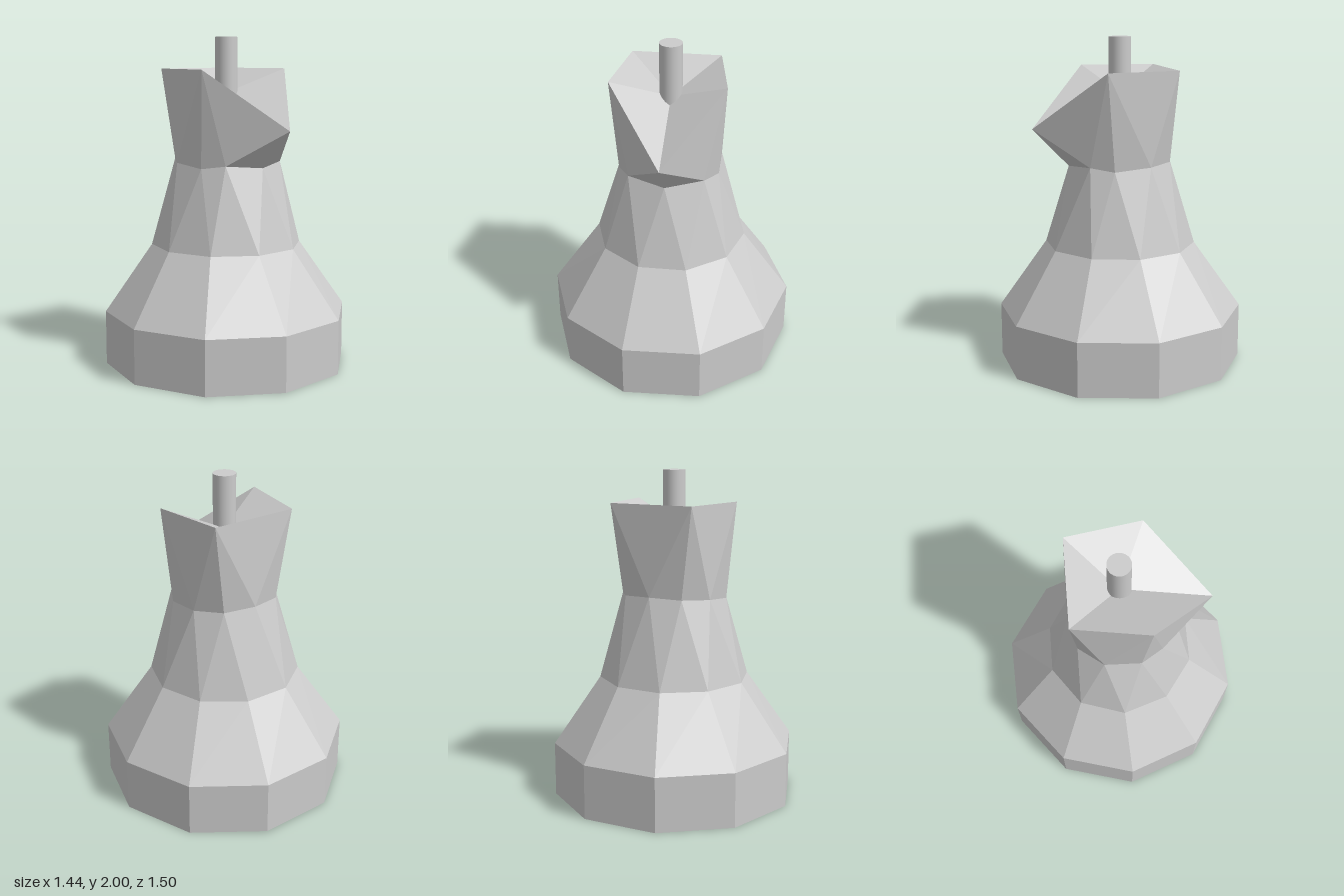
import * as THREE from 'three';

const material = new THREE.MeshStandardMaterial({ color: 0xcccccc, flatShading: true });
const SIDES = 10;

// Ring of ten points: radius, height, turn in degrees
function ring(r, y, turn) {
  return Array.from({ length: SIDES }, (_, k) => {
    const a = THREE.MathUtils.degToRad(turn + 36 * k);
    return [r * Math.cos(a), y, r * Math.sin(a)];
  });
}

// Faceted mesh from a list of triangles, each made of three points
function facets(name, triangles) {
  const geometry = new THREE.BufferGeometry();
  geometry.setAttribute('position', new THREE.Float32BufferAttribute(triangles.flat(2), 3));
  geometry.computeVertexNormals();
  const mesh = new THREE.Mesh(geometry, material);
  mesh.name = name;
  return mesh;
}

// Band of quads between two rings
function band(lower, upper) {
  return lower.flatMap((p, k) => {
    const n = (k + 1) % SIDES;
    return [[p, upper[k], lower[n]], [lower[n], upper[k], upper[n]]];
  });
}

export function createModel() {
  const group = new THREE.Group();

  const foot = ring(0.75, 0, 15.7);
  const rim = ring(0.75, 0.33, 15.7);
  const waist = ring(0.46, 0.74, 18);

  // Neck ring, half a step out of turn with the waist; mirrored in z
  const half = [
    [0.32, 1.23, 0], [0.24, 1.25, 0.225], [0.11, 1.23, 0.3],
    [-0.11, 1.25, 0.3], [-0.26, 1.26, 0.19], [-0.31, 1.27, 0],
  ];
  const mirror = ([x, y, z]) => [x, y, -z];
  const neck = [...half, ...half.slice(1, 5).reverse().map(mirror)];

  // Head corners: the beak, then two raised corners on each side
  const corners = [[0.54, 1.46, 0], [0.16, 1.81, 0.34], [-0.29, 1.81, 0.27]];
  corners.push(mirror(corners[2]), mirror(corners[1]));

  // Ten-sided plinth with its underside
  const under = foot.map((p, k) => [[0, 0, 0], p, foot[(k + 1) % SIDES]]);
  group.add(facets('base', [...under, ...band(foot, rim)]));

  // Sloping skirt
  group.add(facets('skirt', band(rim, waist)));

  // Neck of alternating triangles
  group.add(facets('neck', waist.flatMap((p, k) => {
    const n = (k + 1) % SIDES;
    return [[p, neck[k], neck[n]], [p, neck[n], waist[n]]];
  })));

  // Head: each corner fans over three neck points; the top sinks to a hollow
  const hollow = [0, 1.665, 0];
  group.add(facets('head', corners.flatMap((c, i) => {
    const next = corners[(i + 1) % 5];
    const [before, at, after] = [-1, 0, 1].map((d) => neck[(2 * i + d + SIDES) % SIDES]);
    return [[before, c, at], [at, c, after], [after, c, next], [hollow, next, c]];
  })));

  // Round stem standing in the hollow
  const stemMaterial = new THREE.MeshStandardMaterial({ color: 0xcccccc });
  const stem = new THREE.Mesh(new THREE.CylinderGeometry(0.068, 0.068, 0.4, 32), stemMaterial);
  stem.name = 'stem';
  stem.position.y = 1.8;
  group.add(stem);

  return group;
}
